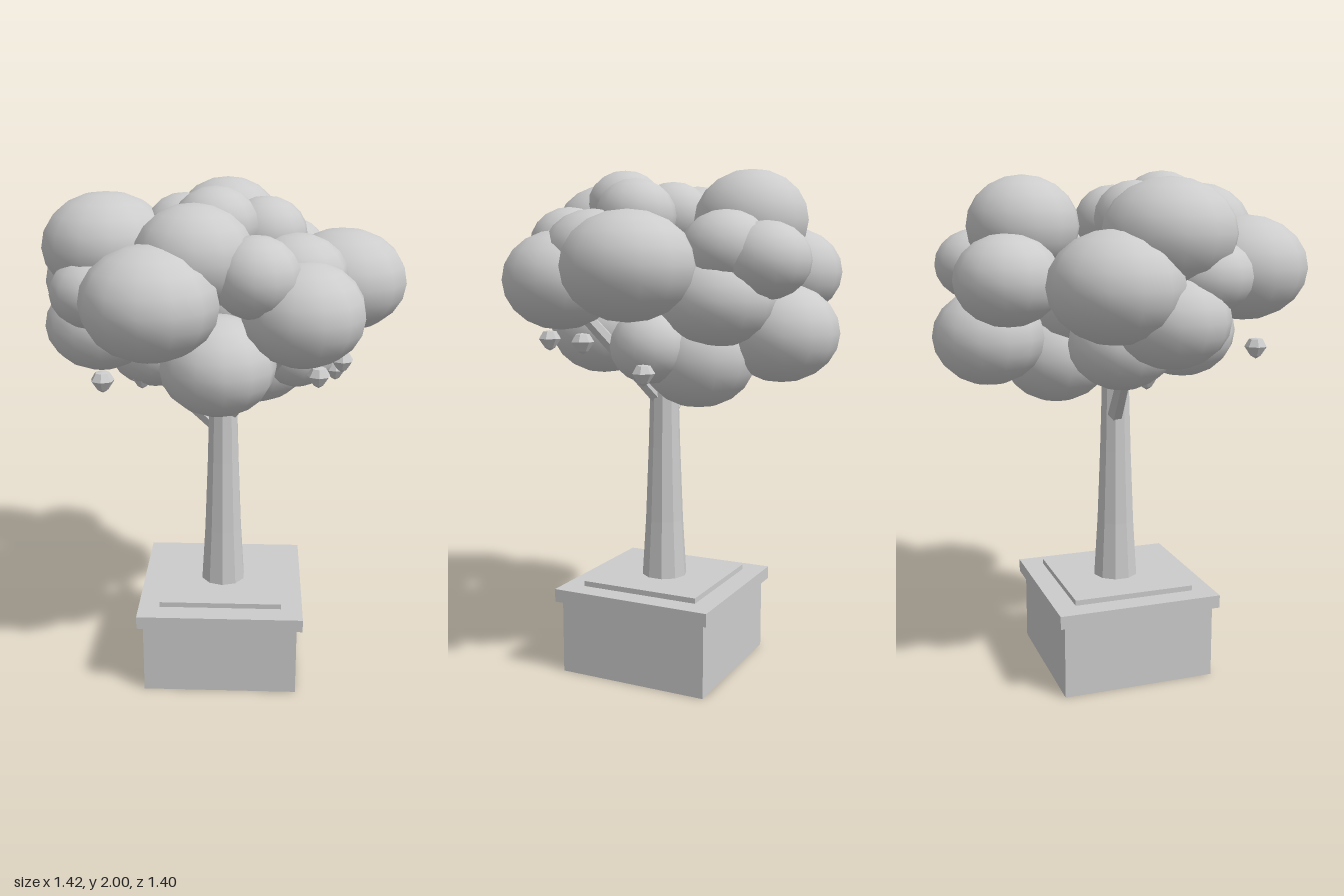
import * as THREE from 'three';

export function createModel() {
  const tree = new THREE.Group();
  tree.name = 'pottedTree';
  const grey = new THREE.MeshStandardMaterial({ color: 0xcccccc });
  grey.name = 'plain grey';

  const add = (name, geometry, x, y, z) => {
    const mesh = new THREE.Mesh(geometry, grey);
    mesh.name = name;
    mesh.position.set(x, y, z);
    tree.add(mesh);
    return mesh;
  };
  // Faceted look through split normals
  const faceted = (geometry) => {
    const g = geometry.toNonIndexed();
    g.computeVertexNormals();
    return g;
  };
  const lathe = (profile, sides) =>
    faceted(new THREE.LatheGeometry(profile.map(p => new THREE.Vector2(...p)), sides));
  const box = (name, w, y0, y1) =>
    add(name, new THREE.BoxGeometry(w, y1 - y0, w), -0.003, (y0 + y1) / 2, 0.015);

  // Planter
  box('planterBody', 0.615, 0, 0.297);
  box('planterRim', 0.66, 0.295, 0.347);
  box('soil', 0.49, 0.345, 0.368);

  // Trunk, flared at the foot
  add('trunk', lathe([[0.092, 0.36], [0.077, 0.6], [0.065, 0.9], [0.056, 1.2], [0.045, 1.5]], 10), 0, 0, 0.018);

  // Branches
  const branch = (name, from, to) => {
    const a = new THREE.Vector3(...from), b = new THREE.Vector3(...to);
    const dir = b.clone().sub(a);
    const mid = a.clone().add(b).multiplyScalar(0.5);
    const mesh = add(name, faceted(new THREE.CylinderGeometry(0.026, 0.034, dir.length(), 6)), mid.x, mid.y, mid.z);
    mesh.quaternion.setFromUnitVectors(new THREE.Vector3(0, 1, 0), dir.normalize());
  };
  branch('leftBranch', [0.02, 1.1, 0.03], [0.27, 1.46, 0.25]);
  branch('rightBranch', [-0.02, 1.04, 0.01], [-0.38, 1.34, -0.06]);

  // Foliage clumps: x, y, z, horizontal radius, vertical radius
  const clumps = [
    [0.005, 1.79, -0.35, 0.217, 0.19],
    [-0.43, 1.77, 0.07, 0.245, 0.195],
    [-0.09, 1.77, 0.32, 0.215, 0.185],
    [-0.02, 1.865, 0.2, 0.155, 0.135],
    [0.16, 1.81, 0.06, 0.155, 0.14],
    [-0.14, 1.82, 0.045, 0.155, 0.14],
    [-0.235, 1.635, 0.455, 0.245, 0.2],
    [0.295, 1.57, 0.315, 0.225, 0.19],
    [0.27, 1.68, 0.18, 0.19, 0.155],
    [0.125, 1.71, 0.375, 0.16, 0.145],
    [0.46, 1.62, -0.065, 0.247, 0.197],
    [-0.01, 1.375, 0.3, 0.215, 0.185],
    [0.03, 1.375, -0.485, 0.217, 0.185],
    [0.13, 1.285, -0.19, 0.225, 0.195],
    [0.29, 1.33, -0.07, 0.155, 0.14],
    [0.23, 1.5, -0.31, 0.215, 0.17],
    [0.25, 1.68, -0.35, 0.165, 0.14],
    [0.22, 1.64, -0.49, 0.165, 0.14],
    [-0.16, 1.6, -0.45, 0.2, 0.17],
    [-0.47, 1.59, -0.14, 0.245, 0.2],
    [-0.46, 1.62, 0.2, 0.172, 0.138],
    [-0.465, 1.47, 0.07, 0.212, 0.175],
    [-0.27, 1.365, -0.05, 0.2, 0.17],
    [0.04, 1.5, -0.12, 0.2, 0.18],
  ];
  const clumpGeometry = new THREE.SphereGeometry(1, 13, 10);
  clumps.forEach(([x, y, z, r, h], i) => {
    const mesh = add('foliage' + (i + 1), clumpGeometry, x, y, z);
    mesh.scale.set(r, h, r);
    mesh.rotation.y = i * 1.3;
  });

  // Hanging fruit
  const fruitGeometry = lathe([[0, -0.042], [0.02, -0.03], [0.043, 0.004], [0.026, 0.032], [0, 0.036]], 7);
  [[-0.41, 1.35, 0.43], [-0.32, 1.24, 0.03], [0.355, 1.345, 0.33],
    [0.455, 1.345, 0.125], [0.45, 1.24, -0.12]]
    .forEach(([x, y, z], i) => add('fruit' + (i + 1), fruitGeometry, x, y, z));

  return tree;
}
